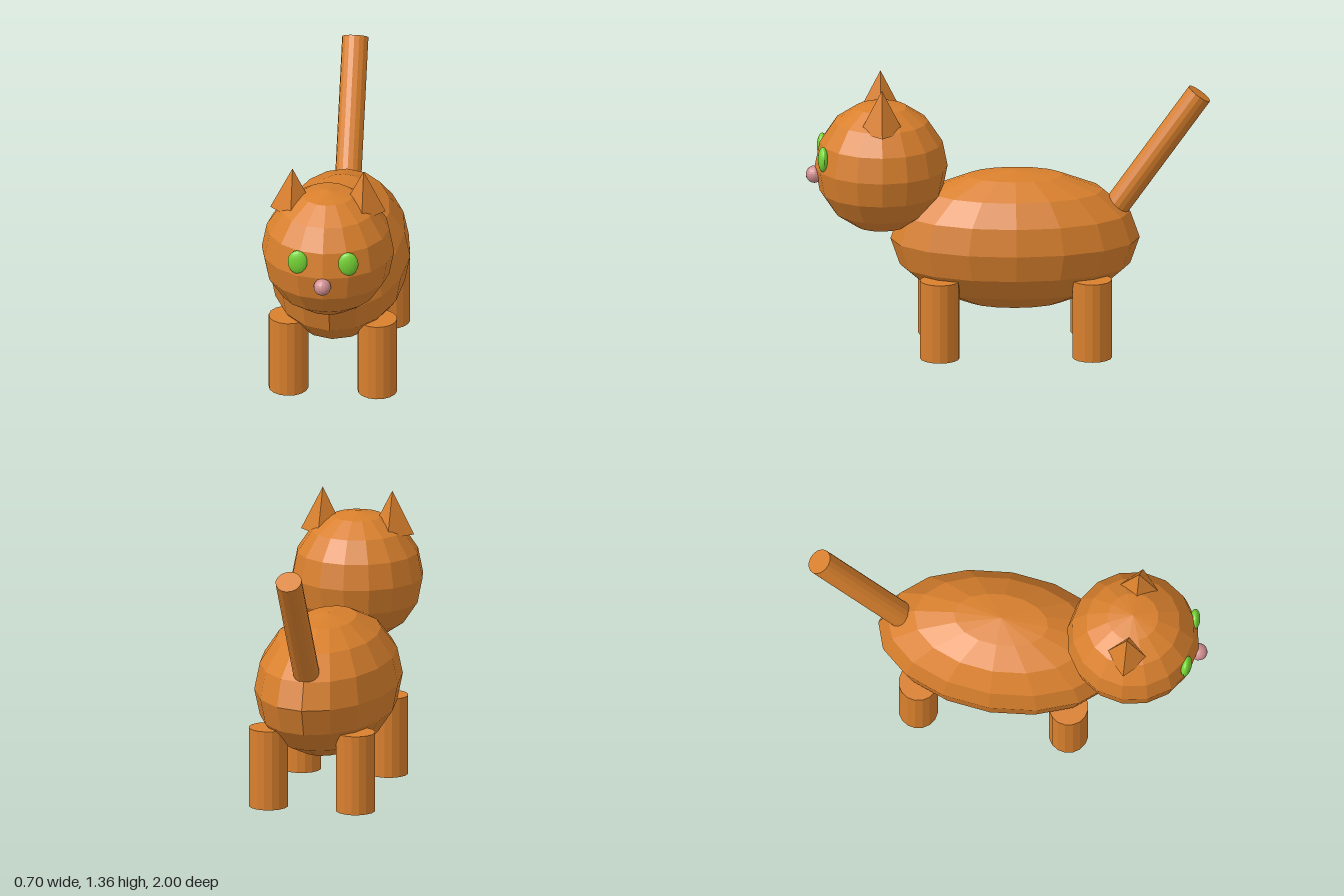
import * as THREE from 'three';

export function createModel() {
  const cat = new THREE.Group();
  cat.name = 'cat';

  const mat = (name, color) => {
    const m = new THREE.MeshStandardMaterial({ color, flatShading: true });
    m.name = name;
    return m;
  };
  const fur = mat('orange fur', 0xd9802d);
  const green = mat('eye green', 0x76d536);
  const pink = mat('nose pink', 0xd18f91);

  const add = (name, geometry, material, x, y, z) => {
    const mesh = new THREE.Mesh(geometry, material);
    mesh.name = name;
    mesh.position.set(x, y, z);
    cat.add(mesh);
    return mesh;
  };
  const ellipsoid = (rx, ry, rz, w, h) => new THREE.SphereGeometry(1, w, h).scale(rx, ry, rz);

  // Faceted body and head
  add('body', ellipsoid(0.35, 0.35, 0.615, 16, 8), fur, 0, 0.553, -0.033);
  add('head', ellipsoid(0.328, 0.328, 0.328, 16, 8), fur, 0, 0.927, 0.628);

  // Straight tail leaning backwards
  const tail = add('tail', new THREE.CylinderGeometry(0.065, 0.065, 0.7, 16), fur, 0, 1.003, -0.74);
  tail.rotation.x = -0.62;

  // Nose
  add('nose', ellipsoid(0.043, 0.043, 0.043, 16, 12), pink, 0, 0.885, 0.957);

  // Mirrored ears, eyes and legs
  for (const [side, s] of [['left', 1], ['right', -1]]) {
    add(side + 'Ear', new THREE.ConeGeometry(0.11, 0.217, 4), fur, s * 0.176, 1.256, 0.628);
    const eye = add(side + 'Eye', ellipsoid(0.05, 0.063, 0.025, 20, 16), green, s * 0.125, 0.996, 0.917);
    eye.rotation.y = s * 0.1;
    for (const [end, z] of [['Front', 0.343], ['Back', -0.409]]) {
      add(side + end + 'Leg', new THREE.CylinderGeometry(0.098, 0.098, 0.4, 16), fur, s * 0.22, 0.2, z);
    }
  }
  return cat;
}
